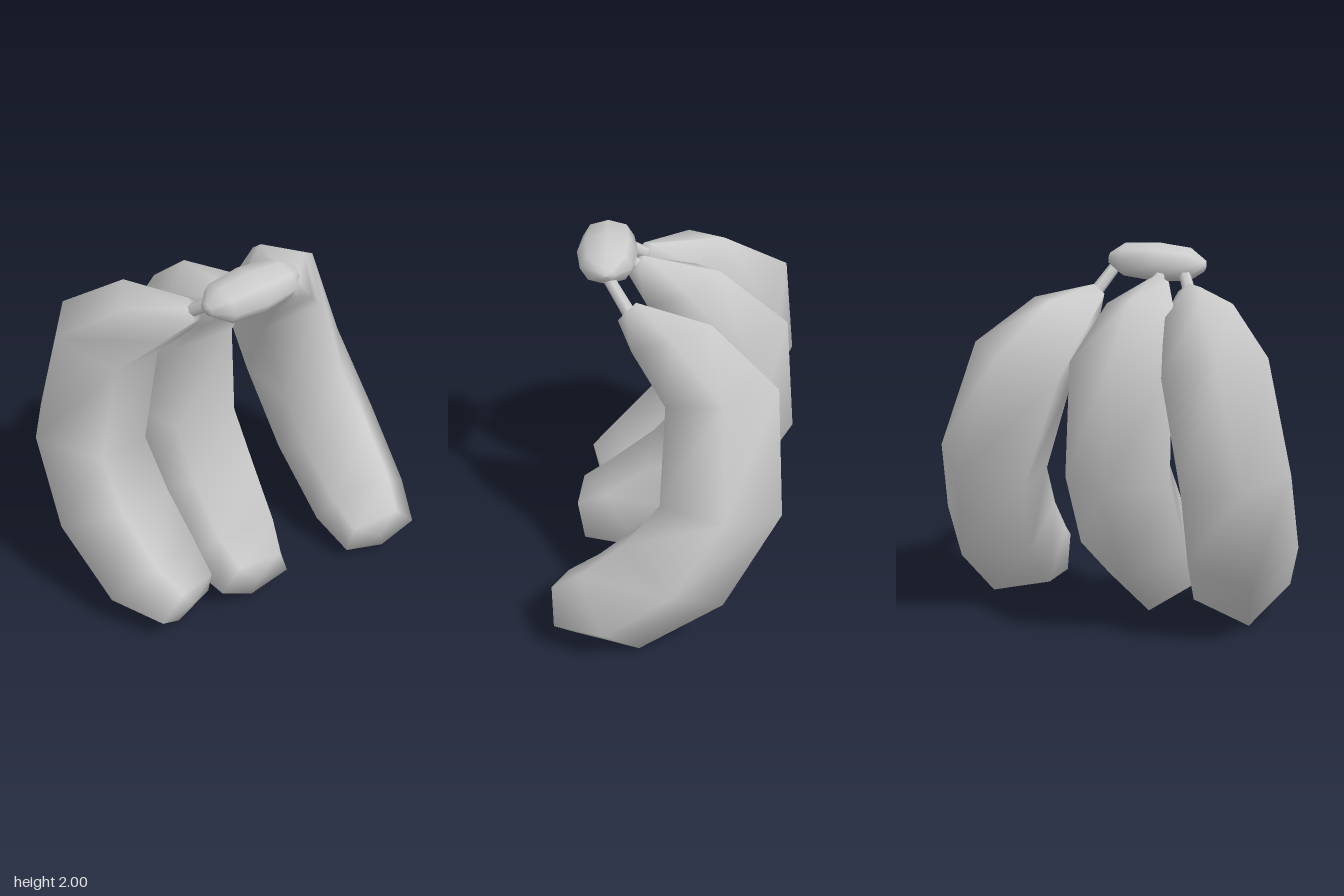
import * as THREE from 'three';

const material = new THREE.MeshStandardMaterial({ color: 0xcccccc });
const SIDES = 5;

// Banana stations, neck to tip: outer z, outer y, inner z, inner y, half width
const STATIONS = [
  [0.20, 1.85, 0.28, 1.76, 0.06],
  [-0.19, 1.78, 0.18, 1.63, 0.18],
  [-0.54, 1.50, -0.02, 1.39, 0.27],
  [-0.59, 0.86, -0.01, 0.88, 0.28],
  [-0.31, 0.33, 0.18, 0.64, 0.29],
  [0.13, 0.01, 0.42, 0.43, 0.265],
  [0.50, 0.04, 0.575, 0.33, 0.2],
];
const NECK = { y: 1.8, z: 0.24 };

// Five-sided curved body, with its neck at the origin
function bananaGeometry(roll) {
  const points = [], index = [];
  const centres = [];
  for (const [oz, oy, iz, iy, w] of STATIONS) {
    const cz = oz + (iz - oz) * 0.553, cy = oy + (iy - oy) * 0.553;
    centres.push([0, cy - NECK.y, cz - NECK.z]);
    for (let j = 0; j < SIDES; j++) {
      const a = (j / SIDES) * Math.PI * 2 + roll;
      points.push(
        (w / 0.951) * Math.sin(a),
        cy + (oy - cy) * Math.cos(a) - NECK.y,
        cz + (oz - cz) * Math.cos(a) - NECK.z
      );
    }
  }
  const last = STATIONS.length - 1;
  const top = STATIONS.length * SIDES, tip = top + 1;
  const end = centres[last];
  points.push(...centres[0], end[0], end[1], end[2] + 0.03);
  for (let j = 0; j < SIDES; j++) {
    const k = (j + 1) % SIDES;
    for (let i = 0; i < last; i++) {
      const a = i * SIDES + j, b = i * SIDES + k;
      index.push(a, b, b + SIDES, a, b + SIDES, a + SIDES);
    }
    index.push(top, k, j, tip, last * SIDES + j, last * SIDES + k);
  }
  const geometry = new THREE.BufferGeometry();
  geometry.setAttribute('position', new THREE.Float32BufferAttribute(points, 3));
  geometry.setIndex(index);
  geometry.computeVertexNormals();
  return geometry;
}

function stem(from, to, name) {
  const a = new THREE.Vector3(...from), b = new THREE.Vector3(...to);
  const mesh = new THREE.Mesh(new THREE.CylinderGeometry(0.03, 0.035, a.distanceTo(b), 6), material);
  mesh.position.copy(a).lerp(b, 0.5);
  mesh.quaternion.setFromUnitVectors(new THREE.Vector3(0, 1, 0), b.sub(a).normalize());
  mesh.name = name;
  return mesh;
}

export function createModel() {
  const model = new THREE.Group();
  model.name = 'bananaBunch';

  // Each banana hangs from its neck, fanned out by yaw and tilt
  const bananas = [
    { name: 'left', neck: [0.235, 1.735, 0.23], yaw: -0.2, tilt: 0.315, roll: 0, scale: [1, 1.01, 1.01], crown: [0.14, 1.9, 0.36] },
    { name: 'middle', neck: [-0.12, 1.8, 0.235], yaw: 0, tilt: 0.01, roll: -0.04, scale: [1, 1, 1], crown: [-0.09, 1.9, 0.36] },
    { name: 'right', neck: [-0.3, 1.765, 0.215], yaw: 0.44, tilt: -0.195, roll: 0.04, scale: [1, 1.01, 1.01], crown: [-0.2, 1.9, 0.38] },
  ];
  for (const b of bananas) {
    const body = new THREE.Mesh(bananaGeometry(b.roll), material);
    body.name = b.name + 'Banana';
    body.position.set(...b.neck);
    body.rotation.set(0, b.yaw, b.tilt, 'ZYX');
    body.scale.set(...b.scale);
    model.add(body, stem(b.neck, b.crown, b.name + 'Stem'));
  }

  // Rounded crown joining the stems, long axis across the bunch
  const profile = [[0, -0.27], [0.3, -0.26], [0.85, -0.18], [1, 0], [0.85, 0.18], [0.3, 0.26], [0, 0.27]]
    .map(([r, y]) => new THREE.Vector2(r, y));
  const crownGeometry = new THREE.LatheGeometry(profile, 8);
  crownGeometry.rotateZ(-Math.PI / 2).scale(1, 0.105, 0.155);
  const crown = new THREE.Mesh(crownGeometry, material);
  crown.name = 'crown';
  crown.position.set(-0.065, 1.895, 0.375);
  crown.rotation.set(0, 0.12, 0.05);
  model.add(crown);

  return model;
}
